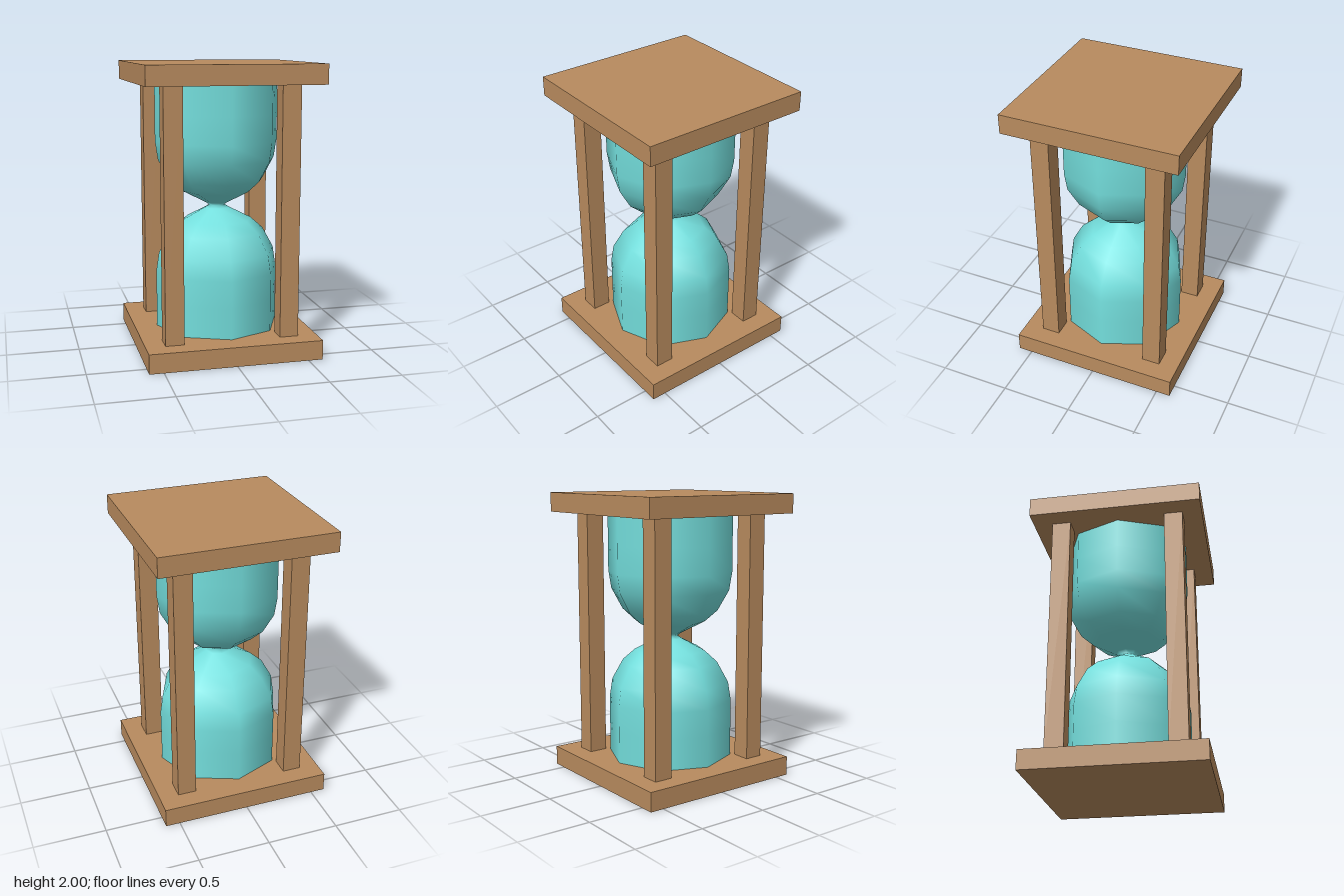
import * as THREE from 'three';

export function createModel() {
  const wood = new THREE.MeshStandardMaterial({ name: 'wood', color: 0xb88b5e });
  const glass = new THREE.MeshStandardMaterial({ name: 'turquoise glass', color: 0x74dfdd });
  const model = new THREE.Group();
  model.name = 'hourglass';

  function addBox(name, size, position) {
    const mesh = new THREE.Mesh(new THREE.BoxGeometry(...size), wood);
    mesh.name = name;
    mesh.position.set(...position);
    model.add(mesh);
  }

  // Square end plates
  const plate = 0.135;
  addBox('basePlate', [1.2, plate, 1.2], [0, plate / 2, 0]);
  addBox('topPlate', [1.2, plate, 1.2], [0, 2 - plate / 2, 0]);

  // Four corner posts between the plates
  for (const x of [-1, 1]) {
    for (const z of [-1, 1]) {
      const name = (z > 0 ? 'front' : 'back') + (x > 0 ? 'Left' : 'Right') + 'Post';
      addBox(name, [0.13, 2 - 2 * plate, 0.13], [x * 0.4, 1, z * 0.4]);
    }
  }

  // Eight-sided smooth glass: lower bulb profile mirrored about the neck
  const lower = [
    [0.44, plate], [0.44, 0.35], [0.44, 0.54], [0.42, 0.67], [0.34, 0.815],
    [0.25, 0.895], [0.085, 0.98], [0.055, 1],
  ];
  const upper = lower.slice(0, -1).reverse().map(([r, y]) => [r, 2 - y]);
  const profile = [...lower, ...upper].map(([r, y]) => new THREE.Vector2(r, y));
  const bulbs = new THREE.Mesh(new THREE.LatheGeometry(profile, 8), glass);
  bulbs.name = 'glassBulbs';
  model.add(bulbs);

  return model;
}
